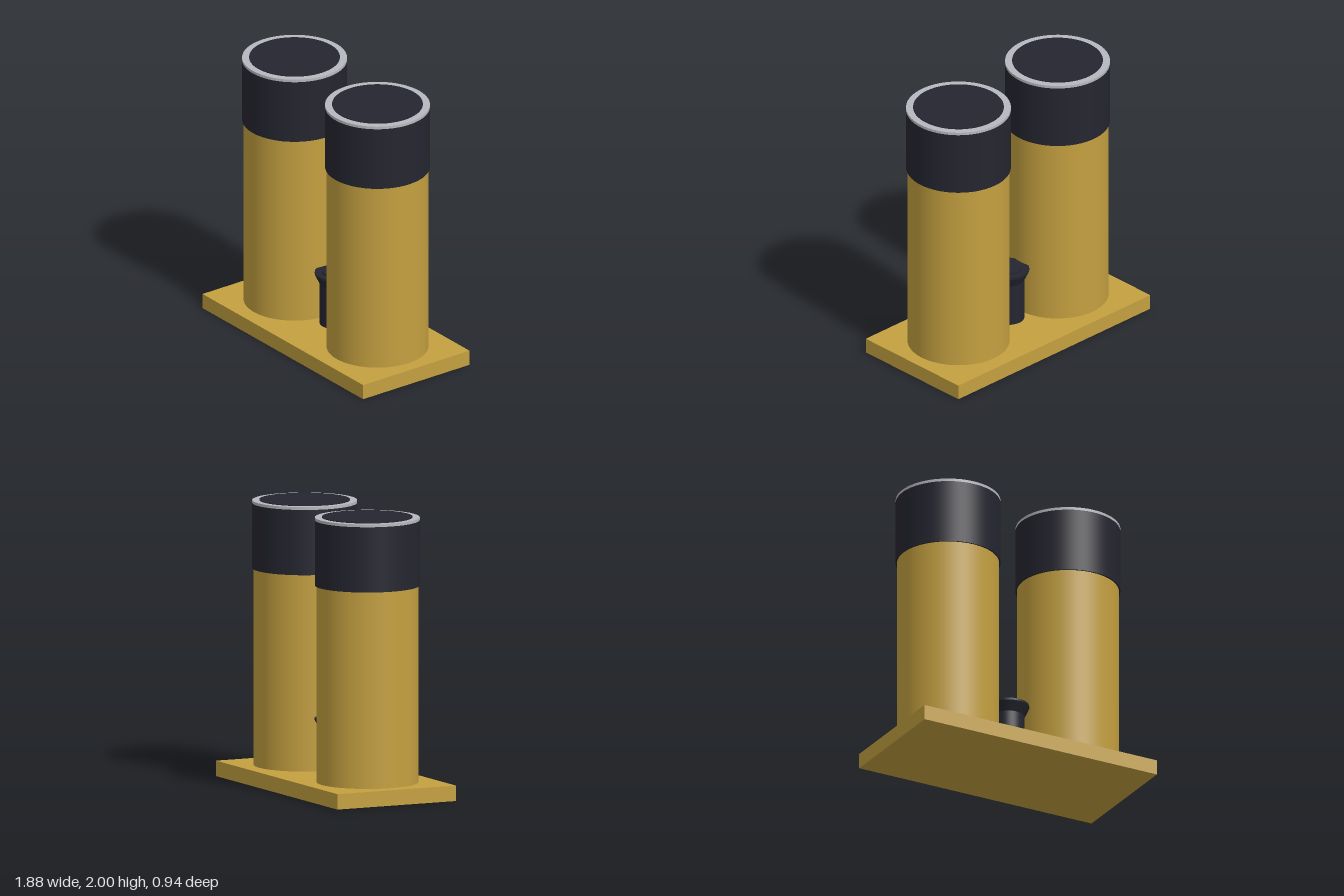
import * as THREE from 'three';

const gold = new THREE.MeshStandardMaterial({ color: 0xc4a040 });
gold.name = 'gold';
const black = new THREE.MeshStandardMaterial({ color: 0x252530 });
black.name = 'black';
const silver = new THREE.MeshStandardMaterial({ color: 0xb8b8c0 });
silver.name = 'silver';

// Upright cylinder between two heights
function drum(name, radius, y0, y1, material) {
  const mesh = new THREE.Mesh(new THREE.CylinderGeometry(radius, radius, y1 - y0, 64), material);
  mesh.position.y = (y0 + y1) / 2;
  mesh.name = name;
  return mesh;
}

// One tall barrel with its dark collar, metal rim and dark top
function makeBarrel(name, x) {
  const barrel = new THREE.Group();
  barrel.name = name;
  barrel.add(
    drum('barrelBody', 0.36, 0.11, 1.52, gold),
    drum('collar', 0.37, 1.51, 1.975, black),
    drum('rim', 0.37, 1.975, 1.995, silver),
    drum('topDisc', 0.32, 1.992, 2.0, black)
  );
  barrel.position.x = x;
  return barrel;
}

export function createModel() {
  const model = new THREE.Group();
  model.name = 'twinBarrels';

  // Base plate
  const base = new THREE.Mesh(new THREE.BoxGeometry(1.88, 0.11, 0.94), gold);
  base.position.y = 0.055;
  base.name = 'basePlate';
  model.add(base);

  model.add(makeBarrel('leftBarrel', 0.485), makeBarrel('rightBarrel', -0.485));

  // Knob between the barrels: straight stem, flared head and low cap
  const knob = new THREE.Group();
  knob.name = 'knob';
  const flare = new THREE.Mesh(new THREE.CylinderGeometry(0.15, 0.116, 0.07, 48), black);
  flare.position.y = 0.455;
  flare.name = 'knobFlare';
  knob.add(
    drum('knobStem', 0.116, 0.11, 0.42, black),
    flare,
    drum('knobHead', 0.15, 0.49, 0.505, black),
    drum('knobCap', 0.1, 0.505, 0.517, black)
  );
  model.add(knob);

  return model;
}
